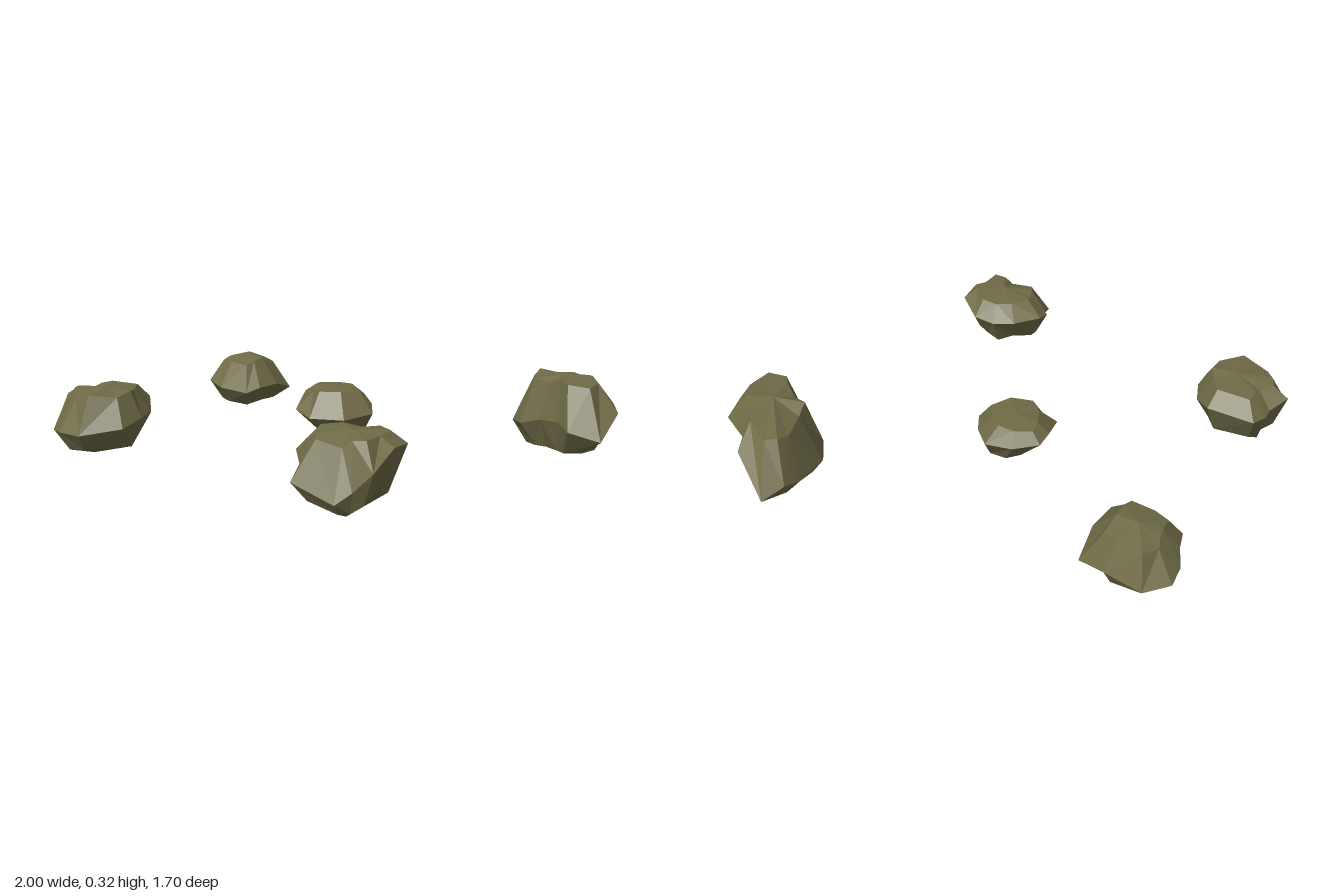
import * as THREE from 'three';

const stone = new THREE.MeshStandardMaterial({ color: 0x6f6b47, flatShading: true, roughness: 1 });

// Small repeatable wobble in the range -1..1
const wobble = (n) => {
  const s = Math.sin(n * 12.9898) * 43758.5453;
  return (s - Math.floor(s)) * 2 - 1;
};

// A stone from its widest rim, a crown point, a foot point, and the
// [inset, rise] of the shoulder ring above and the belly ring below.
function boulder(name, { rim, crown, foot, shoulder, belly, seed }) {
  const n = rim.length;
  const ringTo = (end, [inset, rise], k) => rim.map(([x, y, z], i) => {
    const t = inset + 0.09 * wobble(seed + k + i);
    const h = Math.min(0.99, rise + 0.09 * wobble(seed + k + i + 50));
    return [x + (end[0] - x) * t, y + (end[1] - y) * h, z + (end[2] - z) * t];
  });
  const low = ringTo(foot, belly, 7);
  const high = ringTo(crown, shoulder, 23);
  const pos = [];
  const tri = (a, b, c) => pos.push(...a, ...b, ...c);

  for (let i = 0; i < n; i++) {
    const j = (i + 1) % n;
    tri(low[i], low[j], foot);
    for (const [a, b] of [[low, rim], [rim, high]]) {
      // Alternate the diagonals so that the facets vary
      if (wobble(seed + i * 3) > 0) {
        tri(a[j], a[i], b[i]);
        tri(a[j], b[i], b[j]);
      } else {
        tri(a[j], a[i], b[j]);
        tri(a[i], b[i], b[j]);
      }
    }
    tri(high[j], high[i], crown);
  }
  const geo = new THREE.BufferGeometry();
  geo.setAttribute('position', new THREE.Float32BufferAttribute(pos, 3));
  geo.computeVertexNormals();
  const mesh = new THREE.Mesh(geo, stone);
  mesh.name = name;
  return mesh;
}

export function createModel() {
  const group = new THREE.Group();
  group.name = 'rocks';

  group.add(boulder('backRightRock', {
    rim: [
      [-0.92, 0.17, -0.58], [-0.84, 0.16, -0.65], [-0.69, 0.16, -0.62], [-0.58, 0.13, -0.58],
      [-0.57, 0.17, -0.44], [-0.59, 0.17, -0.32], [-0.63, 0.15, -0.27], [-0.78, 0.16, -0.29],
      [-0.87, 0.18, -0.34], [-0.89, 0.2, -0.43], [-0.92, 0.18, -0.5],
    ],
    crown: [-0.75, 0.3, -0.48], foot: [-0.74, 0.06, -0.45],
    shoulder: [0.42, 0.82], belly: [0.3, 0.75], seed: 3,
  }));

  group.add(boulder('centreRock', {
    rim: [
      [-0.24, 0.23, -0.19], [-0.15, 0.22, -0.25], [-0.04, 0.21, -0.26], [0.04, 0.19, -0.17],
      [0.09, 0.17, -0.07], [0.02, 0.16, 0.05], [-0.12, 0.16, 0.08], [-0.21, 0.18, 0.03],
      [-0.24, 0.23, -0.11],
    ],
    crown: [-0.09, 0.27, -0.1], foot: [-0.01, 0.04, -0.11],
    shoulder: [0.35, 0.85], belly: [0.4, 0.6], seed: 11,
  }));

  group.add(boulder('backLeftRock', {
    rim: [
      [0.58, 0.13, -0.85], [0.76, 0.22, -0.74], [0.82, 0.2, -0.64], [0.95, 0.2, -0.57],
      [1.0, 0.19, -0.43], [0.97, 0.1, -0.28], [0.84, 0.13, -0.27], [0.78, 0.15, -0.34],
      [0.69, 0.14, -0.4], [0.6, 0.11, -0.43], [0.54, 0.1, -0.52], [0.53, 0.12, -0.68],
      [0.54, 0.15, -0.76],
    ],
    crown: [0.76, 0.32, -0.5], foot: [0.75, 0, -0.5],
    shoulder: [0.38, 0.88], belly: [0.35, 0.82], seed: 29,
  }));

  group.add(boulder('frontRightRock', {
    rim: [
      [-0.92, 0.24, 0.3], [-0.73, 0.24, 0.31], [-0.66, 0.2, 0.4], [-0.63, 0.2, 0.5],
      [-0.63, 0.18, 0.62], [-0.76, 0.16, 0.72], [-0.87, 0.16, 0.7], [-0.95, 0.15, 0.64],
      [-0.98, 0.2, 0.56], [-1.0, 0.26, 0.49], [-0.95, 0.23, 0.42], [-0.95, 0.23, 0.37],
    ],
    crown: [-0.78, 0.31, 0.5], foot: [-0.83, 0.05, 0.55],
    shoulder: [0.38, 0.85], belly: [0.3, 0.7], seed: 41,
  }));

  group.add(boulder('frontLeftRock', {
    rim: [
      [0.15, 0.21, 0.68], [0.15, 0.23, 0.61], [0.24, 0.22, 0.53], [0.33, 0.21, 0.5],
      [0.42, 0.22, 0.5], [0.52, 0.25, 0.58], [0.52, 0.26, 0.69], [0.5, 0.2, 0.81],
      [0.43, 0.13, 0.82], [0.38, 0.09, 0.85], [0.21, 0.14, 0.83], [0.2, 0.16, 0.74],
    ],
    crown: [0.36, 0.3, 0.67], foot: [0.37, 0.02, 0.74],
    shoulder: [0.35, 0.87], belly: [0.35, 0.62], seed: 57,
  }));

  return group;
}
